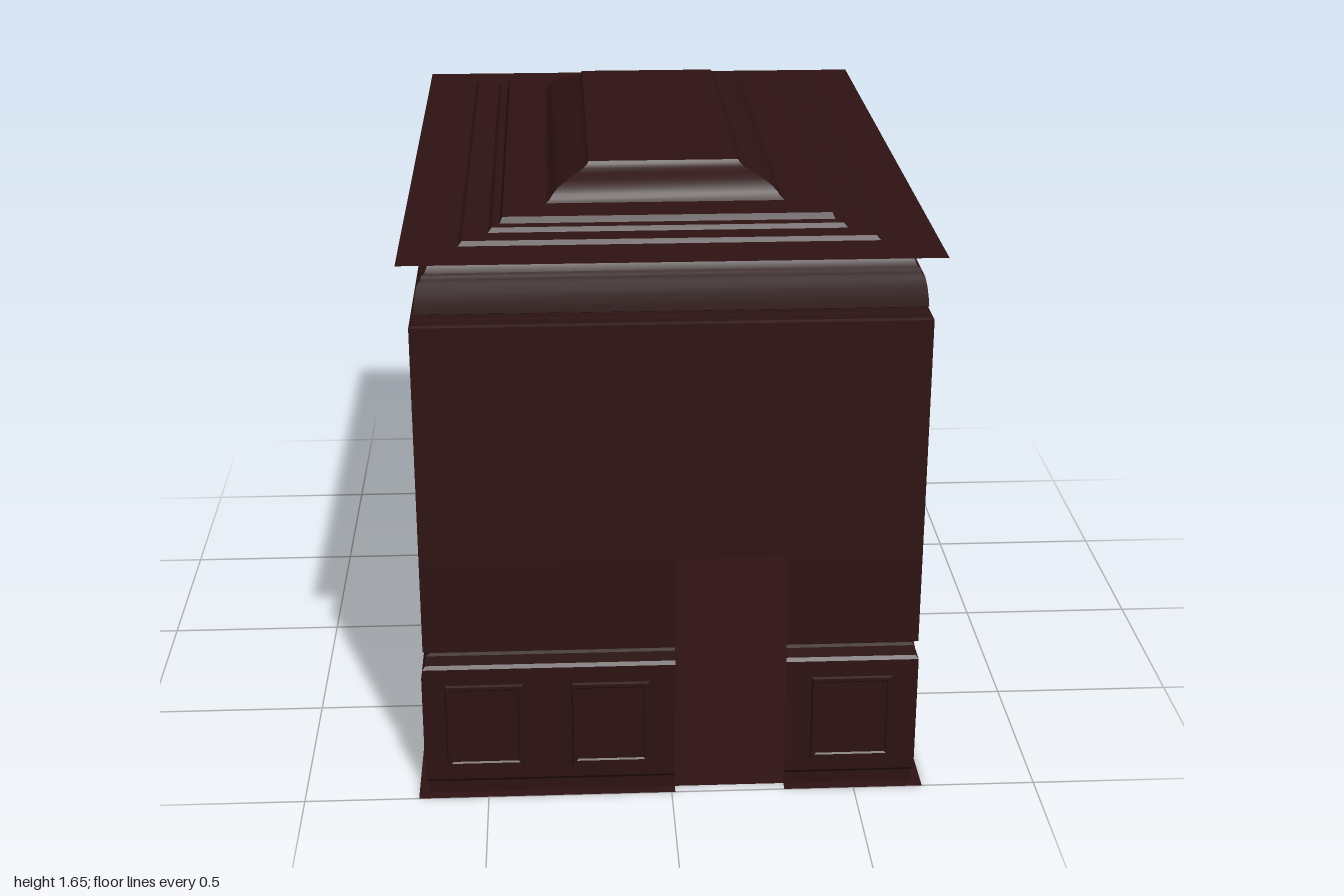
import * as THREE from 'three';
import { toCreasedNormals } from 'three/addons/utils/BufferGeometryUtils.js';

const EXTRA = 0.31; // the room is this much deeper than wide, per half
const DOOR_TOP = 0.70;
const material = new THREE.MeshStandardMaterial({ color: 0x2e1212, side: THREE.DoubleSide });

// Profiles: [half width, height]
const wainscotProfile = [[0.66, 0], [0.66, 0.035], [0.668, 0.045], [0.668, 0.383], [0.66, 0.392],
  [0.657, 0.42], [0.648, 0.425], [0.648, 0.433], [0.665, 0.436]];
const lowerWallProfile = [[0.665, 0.436], [0.665, DOOR_TOP]];
const upperWallProfile = [[0.665, DOOR_TOP], [0.665, 1.356]];
const corniceProfile = [[0.665, 1.356], [0.656, 1.36], [0.656, 1.373], [0.648, 1.375], [0.648, 1.386],
  [0.652, 1.388], [0.65, 1.41], [0.646, 1.44], [0.64, 1.465], [0.632, 1.47], [0.63, 1.482],
  [0.622, 1.487], [0.615, 1.505], [0.605, 1.515], [0.602, 1.53]];
const ceilingProfile = [[0.602, 1.53], [0.54, 1.53], [0.53, 1.541], [0.465, 1.541], [0.455, 1.552],
  [0.435, 1.556], [0.428, 1.572], [0.315, 1.572], [0.305, 1.58], [0.298, 1.59], [0.285, 1.603],
  [0.262, 1.617], [0.235, 1.628], [0.215, 1.637], [0.205, 1.645], [0.2, 1.653]];
const lipProfile = [[0.69, 1.53], [0.602, 1.53]];

// The four walls, each built facing +z and then turned
const sides = [
  { name: 'front', turn: 0, deep: 0, door: [0.01, 0.31], panels: [[-0.61, -0.4], [-0.27, -0.06], [0.38, 0.6]] },
  { name: 'left', turn: Math.PI / 2, deep: 1, door: [-0.31, -0.02],
    panels: [[-0.935, -0.715], [-0.635, -0.4], [0.07, 0.28], [0.38, 0.585], [0.69, 0.91]] },
  { name: 'back', turn: Math.PI, deep: 0, door: null,
    panels: [[-0.62, -0.41], [-0.275, -0.065], [0.065, 0.275], [0.41, 0.62]] },
  { name: 'right', turn: -Math.PI / 2, deep: 1, door: [0.02, 0.31],
    panels: [[-0.91, -0.69], [-0.585, -0.38], [-0.28, -0.07], [0.4, 0.635], [0.715, 0.935]] },
];

function addMesh(parent, name, geometry) {
  const mesh = new THREE.Mesh(geometry, material);
  mesh.name = name;
  parent.add(mesh);
  return mesh;
}

function quadGeometry(quads) {
  const positions = [];
  for (const [a, b, c, d] of quads) positions.push(...a, ...b, ...c, ...a, ...c, ...d);
  const geometry = new THREE.BufferGeometry();
  geometry.setAttribute('position', new THREE.Float32BufferAttribute(positions, 3));
  geometry.computeVertexNormals();
  return toCreasedNormals(geometry, 0.45);
}

// Sweep a profile along one side with mitred ends, leaving a gap for a door
function sweep(profile, side, door) {
  const quads = [];
  const halfLength = (w) => w + (side.deep ? EXTRA : 0);
  const distance = (w) => w + (side.deep ? 0 : EXTRA);
  for (let i = 0; i < profile.length - 1; i++) {
    const [w0, y0] = profile[i], [w1, y1] = profile[i + 1];
    const z0 = distance(w0), z1 = distance(w1), h0 = halfLength(w0), h1 = halfLength(w1);
    const spans = door
      ? [[-h0, door[0], door[0], -h1], [door[1], h0, h1, door[1]]]
      : [[-h0, h0, h1, -h1]];
    for (const [a, b, c, d] of spans) quads.push([[a, y0, z0], [b, y0, z0], [c, y1, z1], [d, y1, z1]]);
  }
  return quadGeometry(quads);
}

// Raised wainscot panel with a bevelled rim
function panelGeometry([x0, x1], z) {
  const rect = (inset, depth) => [
    [x0 + inset, 0.085 + inset, z + depth], [x1 - inset, 0.085 + inset, z + depth],
    [x1 - inset, 0.335 - inset, z + depth], [x0 + inset, 0.335 - inset, z + depth]];
  const loops = [rect(0, 0), rect(0.003, 0.007), rect(0.012, 0.007), rect(0.016, 0.003)];
  const quads = [loops[3]];
  for (let l = 0; l < 3; l++) {
    for (let i = 0; i < 4; i++) {
      const j = (i + 1) % 4;
      quads.push([loops[l][i], loops[l][j], loops[l + 1][j], loops[l + 1][i]]);
    }
  }
  return quadGeometry(quads);
}

// Floor outline, cut back to the wall line at each doorway
function floorGeometry() {
  const outline = [[-0.69, 1], [0.01, 1], [0.01, 0.97], [0.31, 0.97], [0.31, 1], [0.69, 1],
    [0.69, 0.31], [0.66, 0.31], [0.66, 0.02], [0.69, 0.02], [0.69, -1],
    [-0.69, -1], [-0.69, 0.02], [-0.66, 0.02], [-0.66, 0.31], [-0.69, 0.31]];
  const shape = new THREE.Shape(outline.map(([x, z]) => new THREE.Vector2(x, -z)));
  return new THREE.ShapeGeometry(shape).rotateX(-Math.PI / 2);
}

export function createModel() {
  const room = new THREE.Group();
  room.name = 'panelledRoom';

  addMesh(room, 'floor', floorGeometry());

  for (const side of sides) {
    const wall = new THREE.Group();
    wall.name = side.name + 'Wall';
    wall.rotation.y = side.turn;
    room.add(wall);
    addMesh(wall, 'wainscot', sweep(wainscotProfile, side, side.door));
    addMesh(wall, 'lowerWall', sweep(lowerWallProfile, side, side.door));
    addMesh(wall, 'upperWall', sweep(upperWallProfile, side));
    addMesh(wall, 'cornice', sweep(corniceProfile, side));
    addMesh(wall, 'roofLip', sweep(lipProfile, side));
    addMesh(wall, 'steppedCeiling', sweep(ceilingProfile, side));
    const face = 0.668 + (side.deep ? 0 : EXTRA);
    for (const span of side.panels) addMesh(wall, 'wainscotPanel', panelGeometry(span, face));
  }

  // Flat centre of the ceiling
  const centre = addMesh(room, 'ceilingCentre', new THREE.PlaneGeometry(0.4, 1.02).rotateX(-Math.PI / 2));
  centre.position.y = 1.653;

  return room;
}
